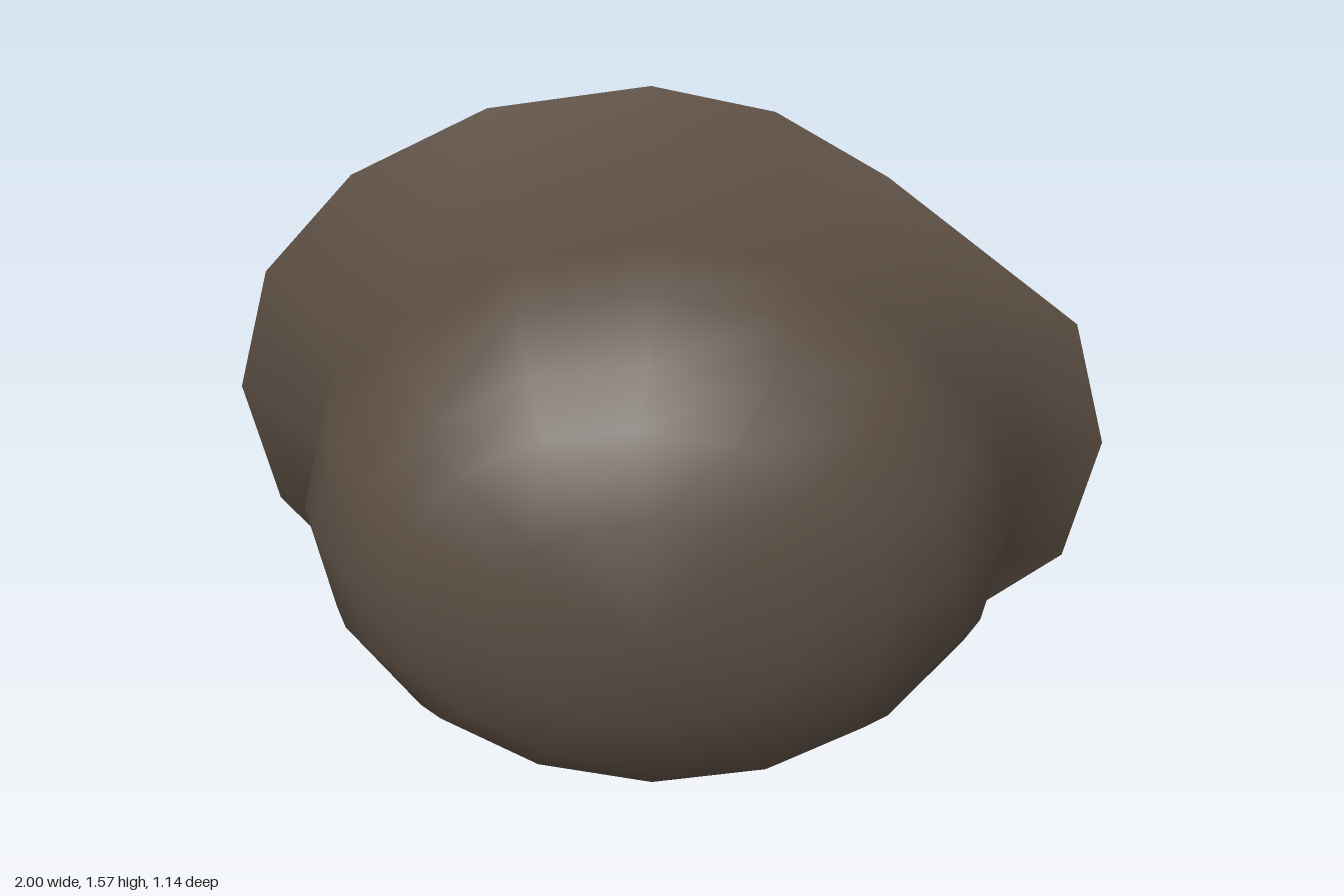
import * as THREE from 'three';
import { mergeVertices } from 'three/addons/utils/BufferGeometryUtils.js';

const MID_Y = 0.785;
const SIDES = 16;

// Skin a list of point rows with smooth normals.
function loft(rows) {
  const n = rows[0].length;
  const index = [];
  for (let r = 0; r < rows.length - 1; r++) {
    for (let k = 0; k < n - 1; k++) {
      const a = r * n + k, b = a + 1, c = a + n, d = c + 1;
      index.push(a, c, b, b, c, d);
    }
  }
  const geo = new THREE.BufferGeometry();
  geo.setAttribute('position', new THREE.Float32BufferAttribute(rows.flat(2), 3));
  geo.setIndex(index);
  const merged = mergeVertices(geo, 1e-5);
  merged.computeVertexNormals();
  return merged;
}

// Tilted oval ring: left end, right end, half height and depth at the middle.
function ring([xL, zL, xR, zR, h, zM]) {
  const cx = (xL + xR) / 2;
  const rx = (xR - xL) / 2;
  const points = [];
  for (let k = 0; k <= SIDES; k++) {
    const a = ((k % SIDES) / SIDES) * Math.PI * 2;
    const c = Math.cos(a), s = Math.sin(a);
    const z = (zL + zR) / 2 + ((zL - zR) / 2) * c + (zM - (zL + zR) / 2) * s * s;
    points.push([cx - rx * c, MID_Y + h * s, z]);
  }
  return points;
}

// Flared brim edge: upper half listed left to right, lower half mirrored.
const rimHalf = [
  [-1, 0, -0.565], [-0.925, 0.305, -0.56], [-0.715, 0.555, -0.548],
  [-0.4, 0.725, -0.53], [-0.03, 0.785, -0.508], [0.25, 0.725, -0.493],
  [0.49, 0.655, -0.293], [0.925, 0.305, -0.248], [1, 0, -0.242],
];
function rim(scale, shift) {
  const lower = rimHalf.slice(0, -1).reverse().map(([x, y, z]) => [x, -y, z]);
  return [...rimHalf, ...lower].map(([x, y, z]) => [x * scale, MID_Y + y * scale, z + shift]);
}

// Bowl rings from the neck below the brim to the crown.
const bowl = [
  [-0.805, -0.27, 0.83, -0.165, 0.66, -0.22],
  [-0.815, 0.01, 0.755, 0.11, 0.675, 0.07],
  [-0.785, 0.13, 0.70, 0.23, 0.615, 0.2],
  [-0.71, 0.28, 0.61, 0.365, 0.53, 0.335],
  [-0.61, 0.38, 0.46, 0.46, 0.425, 0.43],
  [-0.4, 0.48, 0.285, 0.52, 0.26, 0.515],
  [-0.06, 0.568, -0.06, 0.568, 0, 0.568],
];

// Rounded hollow inside: neck ring shrunk towards its deepest point.
function hollow(s) {
  const z = (edge) => 0.12 + (edge - 0.12) * s * s;
  return ring([-0.775 * s, z(-0.265), 0.8 * s, z(-0.17), 0.63 * s, z(-0.215)]);
}

export function createModel() {
  const group = new THREE.Group();
  group.name = 'helmet';
  const shellBrown = new THREE.MeshStandardMaterial({ color: 0x5a4d42 });
  shellBrown.name = 'shellBrown';
  const badgeAmber = new THREE.MeshStandardMaterial({ color: 0x806236 });
  badgeAmber.name = 'badgeAmber';

  const add = (name, geometry, material) => {
    const mesh = new THREE.Mesh(geometry, material);
    mesh.name = name;
    group.add(mesh);
  };

  // One closed shell: hollow inside, over the narrow lip, then the outer skin
  const inner = [0, 0.25, 0.5, 0.75, 1].map(hollow);
  const outer = bowl.map(ring);
  add('shell', loft([...inner, rim(0.99, -0.006), rim(1, 0.006), ...outer]), shellBrown);

  // Thin painted badge on one flank, following the shell: z, y, half width
  const badge = [[-0.2, 0.119, 0.07], [-0.1, 0.114, 0.148], [0.07, 0.104, 0.148], [0.19, 0.158, 0.09]]
    .map(([z, y, w]) => [w + 0.01, -0.03, 0.01 - w].map((x) => [x, y + Math.abs(x + 0.03) * 0.17, z]));
  add('sideBadge', loft(badge), badgeAmber);

  return group;
}
